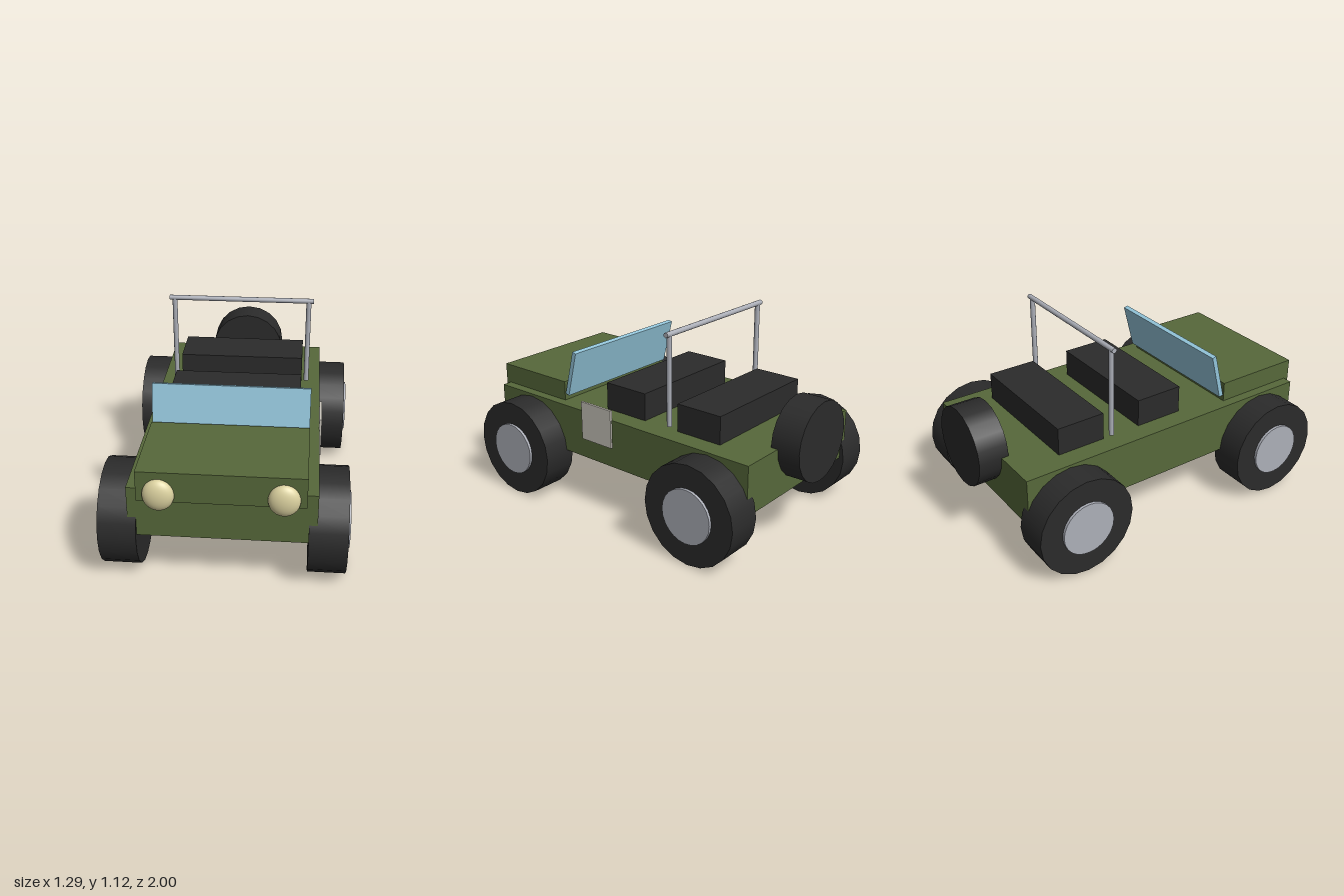
import * as THREE from 'three';

const material = (name, color) => {
  const m = new THREE.MeshStandardMaterial({ color });
  m.name = name;
  return m;
};

export function createModel() {
  const green = material('olive paint', 0x56683a);
  const black = material('black rubber', 0x2b2b2b);
  const metal = material('grey metal', 0xacafb8);
  const glass = material('pale blue glass', 0x93c5da);
  const cream = material('cream lamp', 0xdcd2a0);
  const plate = material('off-white plate', 0xcac6bc);

  const model = new THREE.Group();
  model.name = 'openUtilityCar';

  const add = (name, geometry, mat, x, y, z, parent = model) => {
    const mesh = new THREE.Mesh(geometry, mat);
    mesh.name = name;
    mesh.position.set(x, y, z);
    parent.add(mesh);
    return mesh;
  };
  // Box given by its limits on each axis
  const box = (name, mat, [x0, x1], [y0, y1], [z0, z1]) =>
    add(name, new THREE.BoxGeometry(x1 - x0, y1 - y0, z1 - z0), mat,
      (x0 + x1) / 2, (y0 + y1) / 2, (z0 + z1) / 2);

  // Body, bonnet and bench seats
  box('body', green, [-0.475, 0.475], [0.295, 0.574], [-0.873, 0.92]);
  box('bonnet', green, [-0.42, 0.42], [0.52, 0.686], [0.445, 0.95]);
  box('frontSeat', black, [-0.363, 0.363], [0.55, 0.73], [-0.113, 0.165]);
  box('rearSeat', black, [-0.363, 0.363], [0.55, 0.73], [-0.618, -0.34]);

  // Plate on the left side only
  box('sidePlate', plate, [0.472, 0.486], [0.41, 0.632], [0.03, 0.25]);

  // Windscreen leaning back
  const windscreen = add('windscreen', new THREE.BoxGeometry(0.84, 0.272, 0.026), glass, 0, 0.744, 0.393);
  windscreen.rotation.x = -0.25;

  // Roll bar: two posts and a crossbar
  for (const side of [-1, 1]) {
    add('rollBarPost', new THREE.CylinderGeometry(0.0145, 0.0145, 0.505, 12), metal, side * 0.391, 0.857, -0.308);
  }
  const crossbar = add('rollBarTop', new THREE.CylinderGeometry(0.0145, 0.0145, 0.84, 12), metal, 0, 1.108, -0.308);
  crossbar.rotation.z = Math.PI / 2;

  // Flattened round headlights
  for (const side of [-1, 1]) {
    const lamp = add('headlight', new THREE.SphereGeometry(1, 24, 16), cream, side * 0.308, 0.563, 0.955);
    lamp.scale.set(0.08, 0.086, 0.044);
  }

  // Four wheels with raised hubs
  const tyre = new THREE.CylinderGeometry(0.28, 0.28, 0.198, 20).rotateZ(Math.PI / 2);
  const hub = new THREE.CylinderGeometry(0.151, 0.151, 0.2, 24).rotateZ(Math.PI / 2);
  for (const side of [-1, 1]) {
    for (const z of [0.671, -0.62]) {
      const wheel = new THREE.Group();
      wheel.name = z > 0 ? 'frontWheel' : 'rearWheel';
      wheel.position.set(side * 0.531, 0.28, z);
      model.add(wheel);
      add('tyre', tyre, black, 0, 0, 0, wheel);
      add('hub', hub, metal, side * 0.014, 0, 0, wheel);
    }
  }

  // Spare wheel on the tail
  const spare = new THREE.CylinderGeometry(0.221, 0.221, 0.167, 20).rotateX(Math.PI / 2);
  add('spareWheel', spare, black, 0, 0.577, -0.916);

  return model;
}
